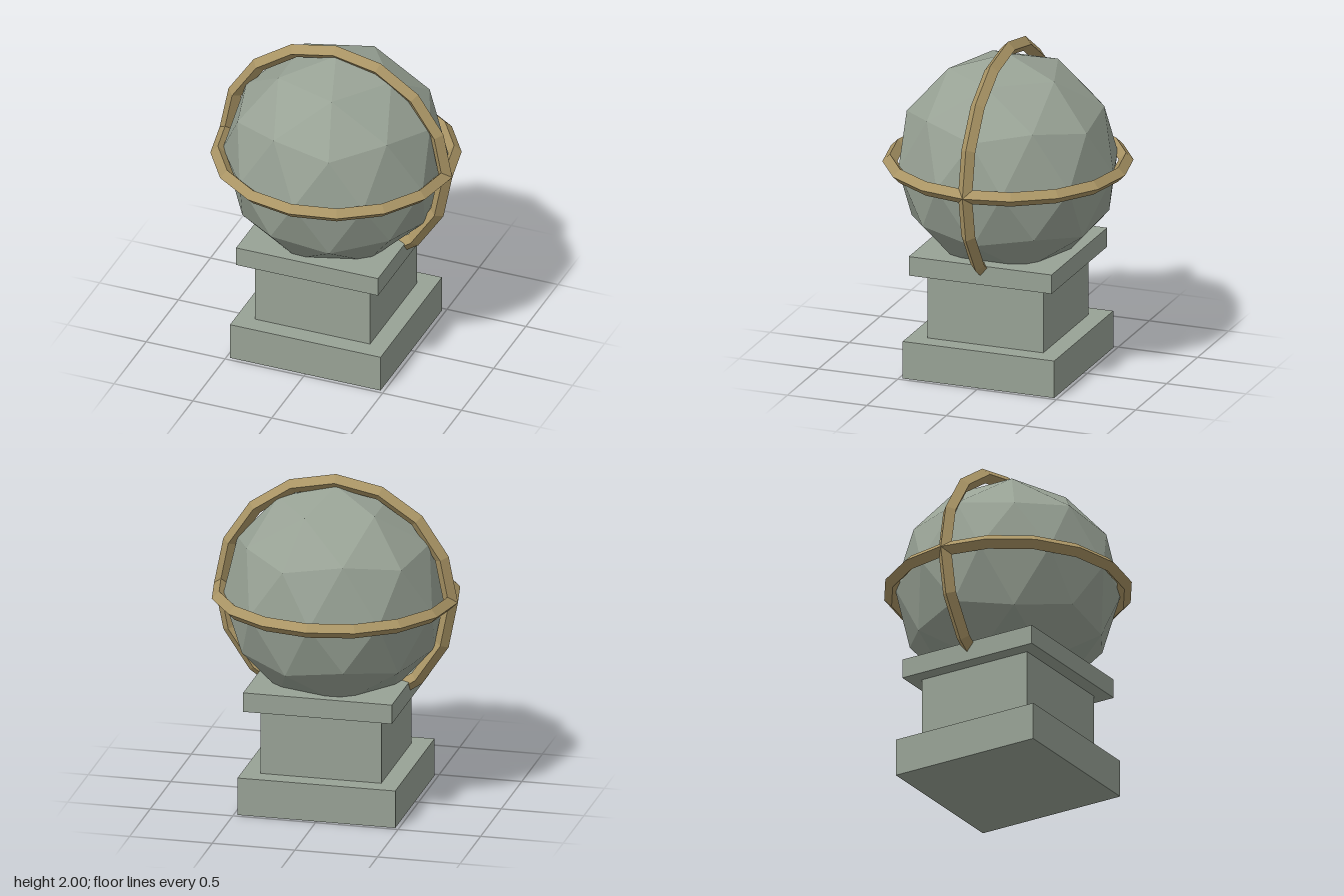
import * as THREE from 'three';

const stone = new THREE.MeshStandardMaterial({ color: 0x98a295, flatShading: true });
stone.name = 'greyGreenStone';
const brass = new THREE.MeshStandardMaterial({ color: 0xaa9565, flatShading: true });
brass.name = 'agedBrass';

const CENTRE_Y = 1.262;

function addPart(group, name, geometry, material, y) {
  const mesh = new THREE.Mesh(geometry, material);
  mesh.name = name;
  mesh.position.y = y;
  group.add(mesh);
  return mesh;
}

export function createModel() {
  const model = new THREE.Group();
  model.name = 'globeFinial';

  // Square pedestal: [name, width, bottom, top]
  const blocks = [
    ['pedestalBase', 0.955, 0, 0.23],
    ['pedestalNeck', 0.73, 0.23, 0.635],
    ['pedestalCap', 0.9, 0.635, 0.753],
  ];
  for (const [name, width, bottom, top] of blocks) {
    addPart(model, name, new THREE.BoxGeometry(width, top - bottom, width), stone, (bottom + top) / 2);
  }

  // Faceted globe, tilted so that one five-sided corner is the pole
  const globe = new THREE.IcosahedronGeometry(0.666, 1);
  globe.rotateZ(-Math.atan(2 / (1 + Math.sqrt(5))));
  addPart(model, 'globe', globe, stone, CENTRE_Y);

  // Two crossed rings with a diamond section
  const ring = new THREE.TorusGeometry(0.694, 0.044, 4, 16);
  addPart(model, 'meridianRing', ring, brass, CENTRE_Y);
  addPart(model, 'equatorRing', ring.clone().rotateX(Math.PI / 2), brass, CENTRE_Y);

  return model;
}
